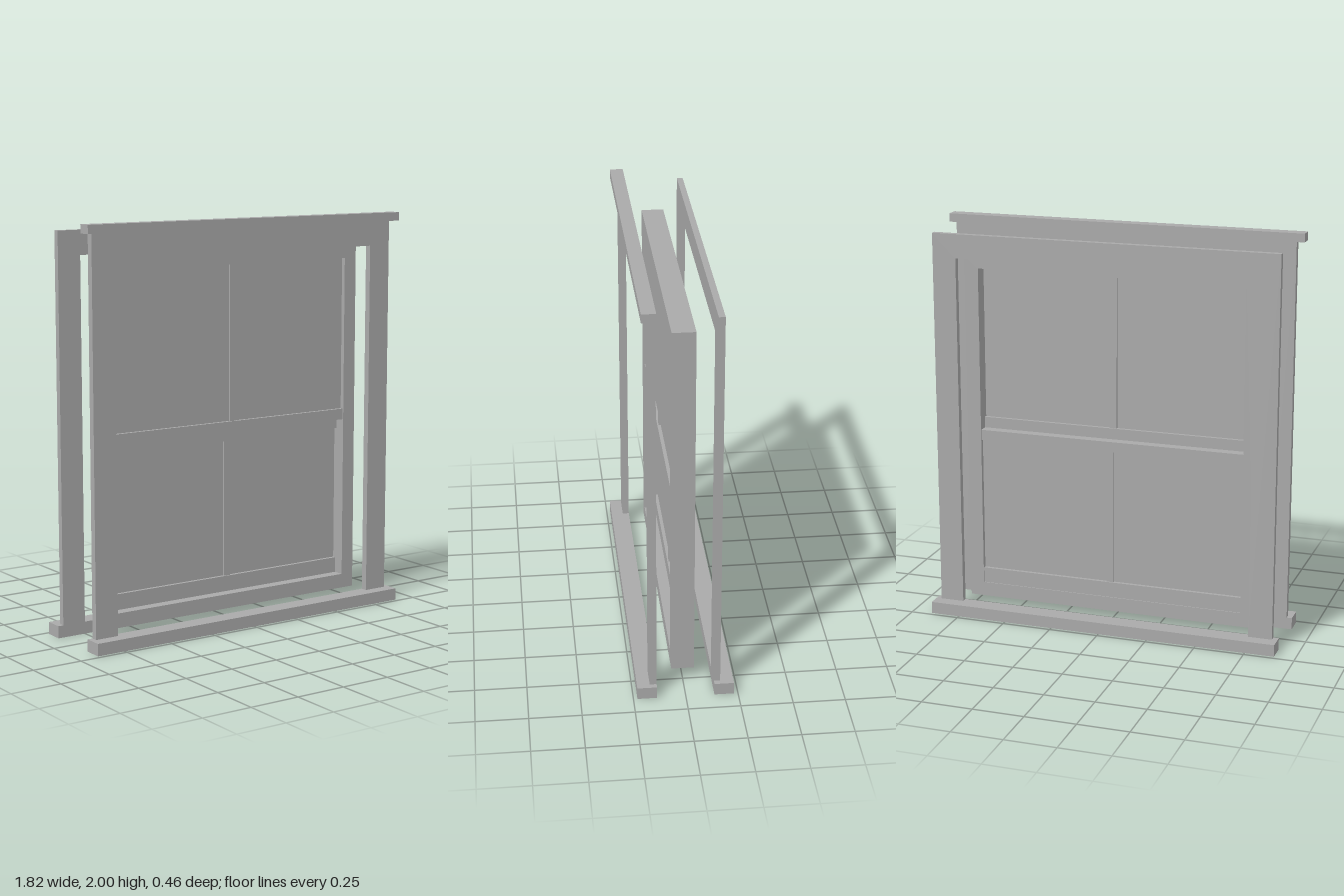
import * as THREE from 'three';

const paint = new THREE.MeshStandardMaterial({ name: 'grey paint', color: 0xaaaaaa });

// Box given by its low and high limits on each axis
function box(name, [x0, x1], [y0, y1], [z0, z1]) {
  const mesh = new THREE.Mesh(new THREE.BoxGeometry(x1 - x0, y1 - y0, z1 - z0), paint);
  mesh.position.set((x0 + x1) / 2, (y0 + y1) / 2, (z0 + z1) / 2);
  mesh.name = name;
  return mesh;
}

function rectangle(Type, x, y0, y1) {
  return new Type([[-x, y0], [x, y0], [x, y1], [-x, y1]].map(p => new THREE.Vector2(...p)));
}

// Extruded outline between two depths
function extrude(name, shape, z0, z1) {
  const geometry = new THREE.ExtrudeGeometry(shape, { depth: z1 - z0, bevelEnabled: false });
  geometry.translate(0, 0, z0);
  const mesh = new THREE.Mesh(geometry, paint);
  mesh.name = name;
  return mesh;
}

// Casing: two legs and a head, open at the bottom
function casing(name, top, z0, z1) {
  const points = [[-0.87, 0.06], [-0.75, 0.06], [-0.75, 1.836], [0.75, 1.836],
    [0.75, 0.06], [0.87, 0.06], [0.87, top], [-0.87, top]];
  return extrude(name, new THREE.Shape(points.map(p => new THREE.Vector2(...p))), z0, z1);
}

// Sash: pane, centre bar and rails around a middle depth z
function sash(name, bottom, top, z, rails) {
  const group = new THREE.Group();
  group.name = name;
  group.add(box('pane', [-0.68, 0.68], [bottom, top], [z - 0.008, z + 0.008]));
  group.add(box('centreBar', [-0.018, 0.018], [bottom, top], [z - 0.018, z + 0.018]));
  for (const y of rails) group.add(box('rail', [-0.68, 0.68], y, [z - 0.025, z + 0.025]));
  return group;
}

export function createModel() {
  const model = new THREE.Group();
  model.name = 'sashWindow';

  // Front trim with cap and sill
  model.add(casing('frontCasing', 1.96, 0.137, 0.17));
  model.add(box('frontCap', [-0.908, 0.908], [1.958, 2], [0.137, 0.203]));
  model.add(box('frontSill', [-0.897, 0.897], [0, 0.06], [0.137, 0.231]));

  // Back trim with sill
  model.add(casing('backCasing', 1.955, -0.167, -0.137));
  model.add(box('backSill', [-0.897, 0.897], [0, 0.06], [-0.231, -0.137]));

  // Middle frame
  const frame = rectangle(THREE.Shape, 0.75, 0.06, 1.834);
  frame.holes.push(rectangle(THREE.Path, 0.68, 0.132, 1.77));
  model.add(extrude('frame', frame, -0.055, 0.055));

  // Upper sash sits to the front, lower sash to the back
  model.add(sash('upperSash', 0.945, 1.77, 0.025, [[0.945, 1.0]]));
  model.add(sash('lowerSash', 0.132, 0.945, -0.025, [[0.132, 0.21], [0.893, 0.945]]));
  return model;
}
